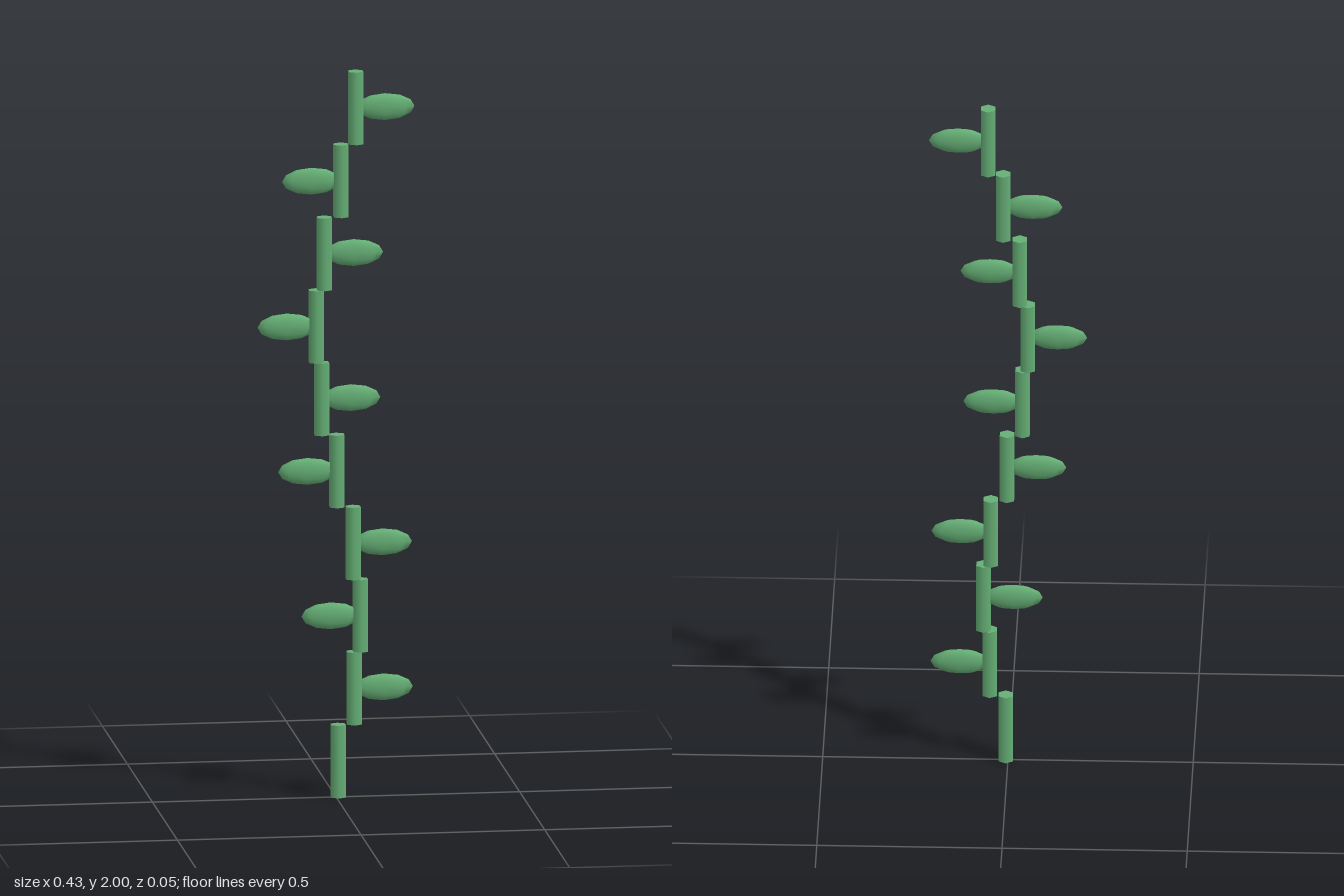
import * as THREE from 'three';

export function createModel() {
  const vine = new THREE.Group();
  vine.name = 'vine';

  const green = new THREE.MeshStandardMaterial({ color: 0x66b076 });
  const count = 10;
  const segmentHeight = 0.2;

  // Six-sided stem piece and a flattened, low-poly leaf
  const stemGeometry = new THREE.CylinderGeometry(0.0225, 0.0225, segmentHeight, 6);
  const leafGeometry = new THREE.SphereGeometry(1, 8, 6);

  for (let i = 0; i < count; i++) {
    // Each stem piece steps sideways along a wave
    const x = 0.06 * Math.sin(i * 0.8) + 0.006;
    const y = (i + 0.5) * segmentHeight;

    const stem = new THREE.Mesh(stemGeometry, green);
    stem.name = `stemSegment${i + 1}`;
    stem.position.set(x, y, 0);
    vine.add(stem);

    // Leaves alternate sides; the lowest piece is bare
    if (i === 0) continue;
    const side = i % 2 ? 1 : -1;
    const leaf = new THREE.Mesh(leafGeometry, green);
    leaf.name = `${side > 0 ? 'left' : 'right'}Leaf${i}`;
    leaf.scale.set(0.08, 0.037, 0.016);
    leaf.position.set(x + side * 0.08, y, 0);
    vine.add(leaf);
  }

  return vine;
}
